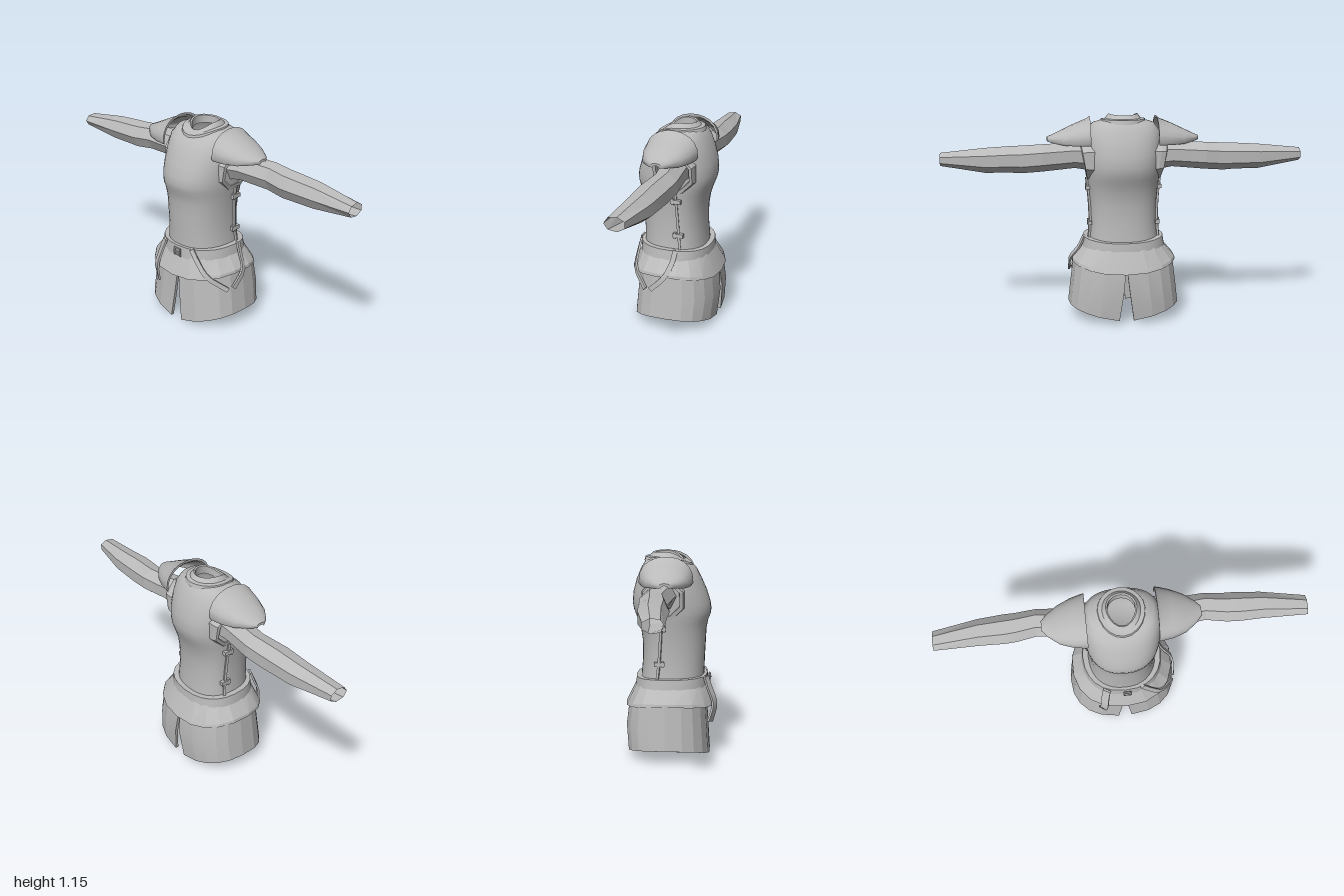
import * as THREE from 'three';
import { toCreasedNormals } from 'three/addons/utils/BufferGeometryUtils.js';

const grey = new THREE.MeshStandardMaterial({ color: 0xbababa, side: THREE.DoubleSide });
grey.name = 'grey';

function add(parent, name, geometry) {
  const mesh = new THREE.Mesh(geometry, grey);
  mesh.name = name;
  parent.add(mesh);
  return mesh;
}

// Surface over a grid of nu x nv points; either direction can wrap around.
function loft(nu, nv, point, { closeU = false, closeV = false, crease = 0.7 } = {}) {
  const pos = [], index = [];
  for (let j = 0; j < nv; j++) for (let i = 0; i < nu; i++) pos.push(...point(i, j));
  const id = (i, j) => (j % nv) * nu + (i % nu);
  for (let j = 0; j < (closeV ? nv : nv - 1); j++) {
    for (let i = 0; i < (closeU ? nu : nu - 1); i++) {
      const a = id(i, j), b = id(i + 1, j), c = id(i + 1, j + 1), d = id(i, j + 1);
      index.push(a, b, c, a, c, d);
    }
  }
  const g = new THREE.BufferGeometry();
  g.setAttribute('position', new THREE.Float32BufferAttribute(pos, 3));
  g.setIndex(index);
  return toCreasedNormals(g, crease);
}

const power = (v, p) => Math.sign(v) * Math.abs(v) ** p;

// Point on a rounded outline: half width w, front zf, back zb, squareness n.
function outline(a, w, zf, zb, n, zc = -0.02) {
  const c = power(Math.cos(a), 2 / n);
  return [w * power(Math.sin(a), 2 / n), zc + c * (c > 0 ? zf - zc : zc - zb)];
}

// Hoop from rows [y, half width, front z, back z, front drop, back drop].
function hoop(rows, n, seg, opts) {
  return loft(seg, rows.length, (i, j) => {
    const [y, w, zf, zb, df = 0, db = 0] = rows[j];
    const a = (i / seg) * Math.PI * 2, c = Math.cos(a);
    const [x, z] = outline(a, w, zf, zb, n);
    return [x, y - (c > 0 ? df : db) * c * c, z];
  }, { closeU: true, ...opts });
}

// Flat leather strip following a path, facing away from the body's axis.
function strip(points, width, thick = 0.012) {
  const curve = new THREE.CatmullRomCurve3(points.map(p => new THREE.Vector3(...p)));
  const n = 9;
  return loft(4, n + 2, (i, j) => {
    const t = THREE.MathUtils.clamp((j - 1) / (n - 1), 0, 1);
    const p = curve.getPoint(t), T = curve.getTangent(t);
    const N = new THREE.Vector3(p.x, 0, p.z).normalize();
    const B = T.clone().cross(N).normalize();
    const end = j === 0 || j === n + 1 ? 0 : 1;
    p.addScaledVector(B, (i === 0 || i === 3 ? -0.5 : 0.5) * width * end);
    p.addScaledVector(N, i < 2 ? thick / 2 : -thick / 2);
    return [p.x, p.y, p.z];
  }, { closeU: true, crease: 0.5 });
}

// One half of the skirt, split at front and back, with wall thickness.
function skirtHalf() {
  const n = 11;
  const levels = [[1, 0], [0.5, 0], [0, 0], [0, 1], [0.5, 1], [1, 1]];
  return loft(n + 2, levels.length, (i, j) => {
    const [s, inner] = levels[j];
    const u = THREE.MathUtils.clamp((i - 1) / (n - 1), 0, 1);
    const th = i === 0 || i === n + 1 ? 0 : 0.018 * inner;
    const w = 0.285 + 0.03 * s;
    const zb = -0.235 - 0.06 * s * (1 - s) - 0.005 * s;
    const [x0, z] = outline(u * Math.PI, w - th, 0.205 + 0.02 * s - th, zb + th, 2.5);
    const gap = 0.04 * Math.max(0, (s - 0.1) / 0.9);
    const x = gap + x0 * (1 - gap / w);
    const low = 0.085 * (x0 / w) ** 1.2 + (u > 0.5 ? 0.02 * (1 - x0 / w) : 0);
    return [x, THREE.MathUtils.lerp(0.33, low, s), z];
  }, { closeV: true, crease: 0.2 });
}

// Shoulder plate: arched sections narrowing outwards to a blunt point.
function shoulderPlate() {
  // [x, front z, back z, edge height, peak height]
  const rows = [
    [0.185, 0.13, -0.165, 1.0, 1.137], [0.2, 0.13, -0.165, 1.0, 1.122],
    [0.26, 0.12, -0.15, 0.998, 1.098], [0.33, 0.095, -0.12, 1.0, 1.065],
    [0.39, 0.05, -0.075, 1.008, 1.036], [0.42, 0.015, -0.04, 1.013, 1.024]];
  const n = 12;
  return loft(2 * n, rows.length + 2, (i, j) => {
    const r = THREE.MathUtils.clamp(j - 1, 0, rows.length - 1);
    const [x, zf, zb, low, high] = rows[r];
    const inner = i >= n, t = (inner ? 2 * n - 1 - i : i) / (n - 1);
    const th = inner && j > 0 && j <= rows.length ? 0.014 : 0;
    const c = Math.cos(t * Math.PI), mid = (zf + zb) / 2, half = (zf - zb) / 2;
    const y = low + (high - low) * Math.sin(t * Math.PI) ** 0.8 - th * 0.9;
    return [x, y, mid + c * (half - th * 0.6)];
  }, { closeU: true, crease: 0.8 });
}

// Ring of points around the x axis, for sleeve and armhole.
// Rows: [x, centre y, centre z, radius y, radius z]
function sidewaysTube(rows, sides, lean = 0) {
  return loft(sides, rows.length, (i, j) => {
    const [x, cy, cz, ry, rz] = rows[j];
    const a = ((i + 0.5) / sides) * Math.PI * 2;
    return [x + lean * Math.sin(a), cy + ry * Math.sin(a), cz - rz * Math.cos(a)];
  }, { closeU: true, crease: 0.1 });
}

function buildSide() {
  const side = new THREE.Group();
  add(side, 'sleeve', sidewaysTube([
    [0.17, 0.92, -0.04, 0.085, 0.085], [0.27, 0.928, -0.05, 0.073, 0.08],
    [0.45, 0.918, -0.07, 0.077, 0.075], [0.56, 0.91, -0.058, 0.078, 0.08],
    [0.62, 0.911, -0.055, 0.075, 0.082], [0.76, 0.907, -0.052, 0.07, 0.074],
    [1.0, 0.912, -0.028, 0.037, 0.055]], 7));
  add(side, 'armholeRim', sidewaysTube([
    [0.13, 0.905, -0.032, 0.125, 0.125], [0.195, 0.905, -0.032, 0.125, 0.125],
    [0.222, 0.905, -0.032, 0.118, 0.118], [0.226, 0.908, -0.034, 0.098, 0.1],
    [0.17, 0.908, -0.034, 0.09, 0.092]], 8, 0.02));
  add(side, 'shoulderPlate', shoulderPlate());
  add(side, 'skirtPanel', skirtHalf());

  // Side seam with two clasps
  add(side, 'sideSeam', strip([[0.206, 0.8, -0.042], [0.193, 0.68, -0.048],
    [0.189, 0.56, -0.056], [0.196, 0.46, -0.066]], 0.014));
  for (const [y, z, x] of [[0.745, -0.045, 0.2], [0.545, -0.055, 0.19]]) {
    add(side, 'clasp', new THREE.BoxGeometry(0.024, 0.022, 0.058)).position.set(x, y, z);
    add(side, 'claspLoop', new THREE.BoxGeometry(0.026, 0.034, 0.012)).position.set(x, y, z + 0.018);
  }
  return side;
}

export function createModel() {
  const model = new THREE.Group();
  model.name = 'armouredTunic';

  // Breastplate and back
  add(model, 'torso', hoop([
    [0.4, 0.2, 0.19, -0.17], [0.47, 0.193, 0.19, -0.165], [0.55, 0.186, 0.192, -0.158],
    [0.65, 0.188, 0.197, -0.158], [0.72, 0.193, 0.2, -0.168], [0.77, 0.199, 0.21, -0.184],
    [0.8, 0.203, 0.222, -0.196], [0.83, 0.206, 0.227, -0.207], [0.87, 0.209, 0.222, -0.214],
    [0.93, 0.211, 0.203, -0.209], [1.0, 0.21, 0.172, -0.19], [1.06, 0.2, 0.14, -0.165],
    [1.1, 0.17, 0.11, -0.14, 0.02], [1.115, 0.12, 0.09, -0.125, 0.03]],
  2.3, 40, { crease: 1.2 }));

  // Stepped neckline, open in the middle
  add(model, 'collar', hoop([
    [1.1, 0.128, 0.122, -0.148, 0.035], [1.122, 0.122, 0.116, -0.142, 0.035],
    [1.125, 0.1, 0.095, -0.12, 0.035], [1.15, 0.08, 0.072, -0.1, 0.045, 0.005],
    [1.145, 0.072, 0.064, -0.092, 0.045, 0.005], [1.1, 0.072, 0.062, -0.09, 0.04]],
  2, 20, { crease: 0.5 }));

  // Belt and flared hip guard
  add(model, 'belt', hoop([
    [0.41, 0.235, 0.213, -0.2, 0.015, 0.015], [0.465, 0.226, 0.208, -0.195, 0.005, 0.015],
    [0.465, 0.19, 0.18, -0.16, 0.005, 0.015], [0.41, 0.19, 0.18, -0.16, 0.015, 0.015]],
  2.3, 24, { closeV: true, crease: 0.5 }));
  add(model, 'hipGuard', hoop([
    [0.328, 0.295, 0.255, -0.255, 0.035, 0.04], [0.345, 0.292, 0.248, -0.248, 0.035, 0.04],
    [0.425, 0.222, 0.203, -0.19], [0.41, 0.2, 0.185, -0.17],
    [0.328, 0.272, 0.232, -0.232, 0.03, 0.035]],
  2.35, 18, { closeV: true, crease: 0.25 }));

  // Buckle: square frame with a prong
  const buckle = add(model, 'buckle', new THREE.TorusGeometry(0.03, 0.006, 4, 4)
    .rotateZ(Math.PI / 4).toNonIndexed());
  buckle.geometry.computeVertexNormals();
  buckle.position.set(0.012, 0.428, 0.22);
  add(model, 'buckleProng', new THREE.BoxGeometry(0.05, 0.008, 0.01)).position.set(0.012, 0.428, 0.224);

  // Hanging straps
  add(model, 'beltTail', strip([[-0.105, 0.462, 0.2], [-0.115, 0.41, 0.217],
    [-0.127, 0.31, 0.25], [-0.138, 0.21, 0.226]], 0.045));
  add(model, 'frontHipStrap', strip([[0.1, 0.462, 0.196], [0.145, 0.405, 0.198],
    [0.21, 0.33, 0.19], [0.292, 0.245, 0.105]], 0.026));
  add(model, 'rearHipStrap', strip([[0.222, 0.468, -0.05], [0.25, 0.405, -0.04],
    [0.298, 0.335, -0.012], [0.303, 0.25, 0.07]], 0.028));

  // Mirrored sides
  const left = buildSide();
  left.name = 'leftSide';
  const right = left.clone();
  right.name = 'rightSide';
  right.scale.x = -1;
  model.add(left, right);
  return model;
}
